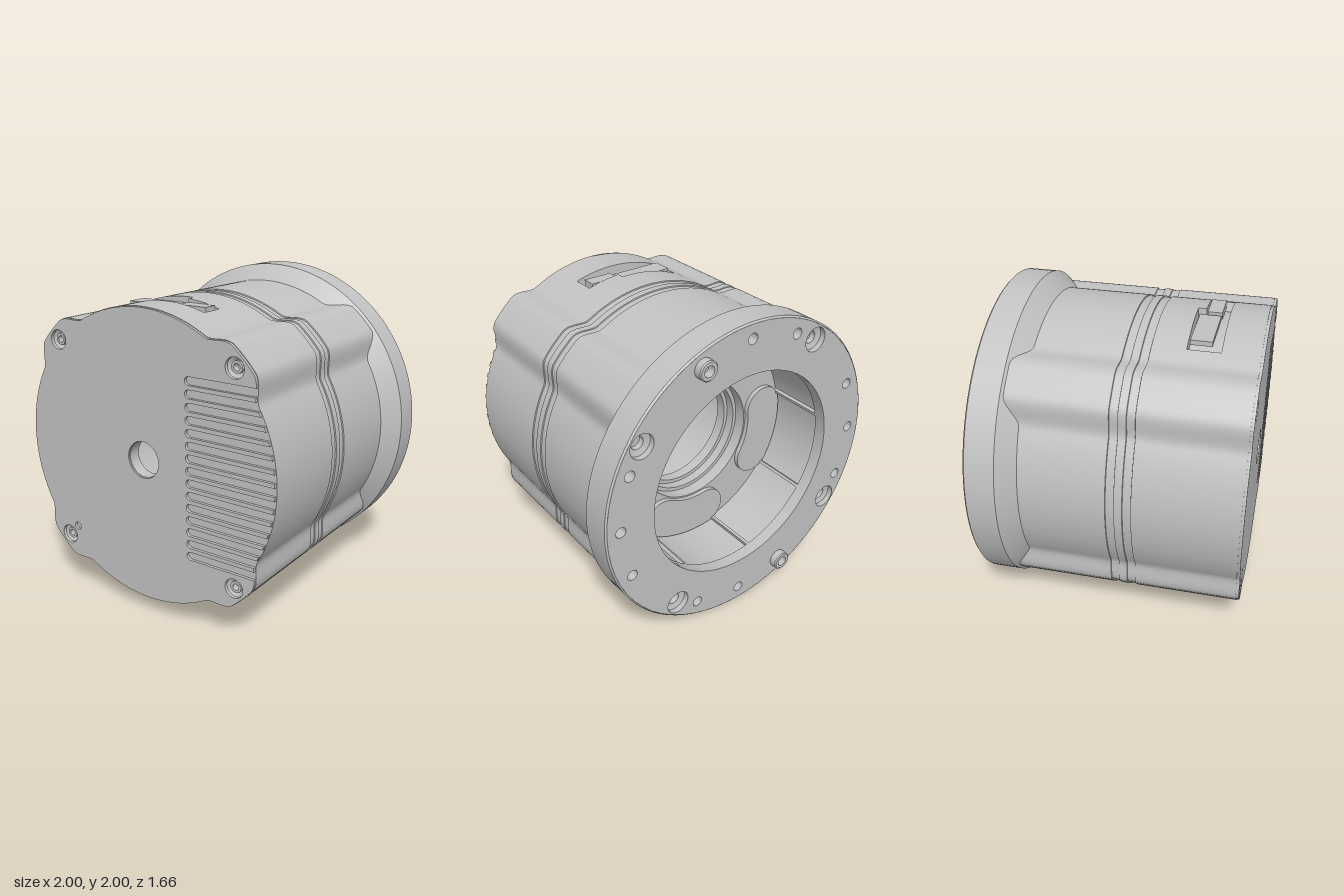
import * as THREE from 'three';
import { toCreasedNormals } from 'three/addons/utils/BufferGeometryUtils.js';

const rad = THREE.MathUtils.degToRad;
const grey = new THREE.MeshStandardMaterial({ color: 0xc2c2c2, side: THREE.DoubleSide });
grey.name = 'machined grey';

// Housing outline: a circle with four screw ears on the diagonals
function ear(t) {
  const q = Math.PI / 2;
  const a = Math.abs((((t % q) + q) % q) - q / 2);
  return 1 - THREE.MathUtils.smoothstep(a, rad(5.5), rad(15.5));
}
const outline = (t) => 0.9 + 0.085 * ear(t);
const at = (t, k = 1) => new THREE.Vector2(Math.cos(t), Math.sin(t)).multiplyScalar(outline(t) * k);

// Angle at which the right-hand outline reaches height y
function angleAt(y) {
  let lo = -Math.PI / 4, hi = Math.PI / 4;
  for (let i = 0; i < 40; i++) {
    const m = (lo + hi) / 2;
    if (outline(m) * Math.sin(m) < y) lo = m; else hi = m;
  }
  return lo;
}

function mesh(name, geometry, parent) {
  const m = new THREE.Mesh(geometry, grey);
  m.name = name;
  parent.add(m);
  return m;
}

// Turned part along z from [radius, z] pairs
function turned(points, segments = 96) {
  const g = new THREE.LatheGeometry(points.map(([r, z]) => new THREE.Vector2(r, z)), segments);
  g.rotateX(Math.PI / 2);
  return toCreasedNormals(g, 0.5);
}

function hole(shape, x, y, r) {
  shape.holes.push(new THREE.Path().absarc(x, y, r, 0, Math.PI * 2, true));
}

function extruded(shape, depth, z) {
  const g = new THREE.ExtrudeGeometry(shape, { depth, bevelEnabled: false, curveSegments: 32 });
  g.translate(0, 0, z);
  return toCreasedNormals(g, 0.5);
}

// Side wall as a radius field with grooves and two connector pockets
function housingWall() {
  const e = 0.001;
  const cols = [], rows = [-0.6, -0.4, -0.2, 0.3, 0.7, 0.81];
  for (let i = 0; i <= 240; i++) cols.push((i / 240) * Math.PI * 2);
  for (const x of [-0.36, 0.05, 0.27]) {
    const t = Math.acos(x / 0.9);
    cols.push(t - e, t + e, t + Math.PI - e, t + Math.PI + e);
  }
  for (const z of [0.035, 0.085, 0.135, 0.185, 0.39, 0.44, 0.585]) rows.push(z - e, z + e);
  cols.sort((a, b) => a - b);
  rows.sort((a, b) => b - a);
  const g = new THREE.PlaneGeometry(1, 1, cols.length - 1, rows.length - 1);
  const p = g.attributes.position;
  rows.forEach((z, j) => cols.forEach((t, i) => {
    let r = outline(t);
    const u = 0.9 * Math.cos(t) * (t < Math.PI ? 1 : -1);
    const wide = u > -0.36 && u <= 0.05 && z > 0.39 && z < 0.585;
    const narrow = u > 0.05 && u < 0.27 && z > 0.44 && z < 0.585;
    if (wide || narrow) r -= 0.06;
    if ((z > 0.035 && z < 0.085) || (z > 0.135 && z < 0.185)) r -= 0.007;
    p.setXYZ(j * cols.length + i, r * Math.cos(t), r * Math.sin(t), z);
  }));
  return toCreasedNormals(g, 0.5);
}

// Front cover outline with vent slots open on the right edge
function coverShape() {
  const k = 0.996, pts = [];
  const edge = (y) => at(angleAt(y / k), k);
  const t0 = angleAt(0.55 / k), t1 = Math.PI * 2 + angleAt(-0.55 / k);
  for (let i = 0; i <= 240; i++) pts.push(at(t0 + ((t1 - t0) * i) / 240, k));
  for (let s = -7; s <= 7; s++) {
    const y = s * 0.075;
    if (s > -7) pts.push(edge(y - 0.025));
    for (let i = 0; i <= 8; i++) {
      const a = -Math.PI / 2 - (i / 8) * Math.PI;
      pts.push(new THREE.Vector2(0.335 + 0.025 * Math.cos(a), y + 0.025 * Math.sin(a)));
    }
    if (s < 7) pts.push(edge(y + 0.025));
  }
  return new THREE.Shape(pts);
}

// Curved pad with rounded ends, centred on angle 0
function padShape() {
  const r = 0.555, w = 0.135, h = rad(19), s = new THREE.Shape();
  s.absarc(0, 0, r + w, -h, h, false);
  s.absarc(r * Math.cos(h), r * Math.sin(h), w, h, h + Math.PI, false);
  s.absarc(0, 0, r - w, h, -h, true);
  s.absarc(r * Math.cos(h), -r * Math.sin(h), w, Math.PI - h, 2 * Math.PI - h, false);
  return s;
}

export function createModel() {
  const model = new THREE.Group();
  model.name = 'actuatorHousing';
  const body = new THREE.Group();
  body.name = 'body';
  body.position.y = 1;
  model.add(body);

  mesh('housingWall', housingWall(), body);

  // Front end wall and slotted cover
  const endShape = new THREE.Shape(Array.from({ length: 240 }, (_, i) => at((i / 240) * Math.PI * 2)));
  const cover = coverShape();
  for (const s of [endShape, cover]) {
    hole(s, 0, 0, 0.113);
    for (const x of [-0.64, 0.64]) for (const y of [-0.64, 0.64]) hole(s, x, y, 0.06);
  }
  hole(cover, -0.565, -0.565, 0.025);
  const end = new THREE.ShapeGeometry(endShape, 32);
  end.translate(0, 0, 0.81);
  mesh('frontWall', end, body);
  mesh('frontCover', extruded(cover, 0.018, 0.81), body);

  // Recessed cover screws
  const screw = turned([[0.06, 0], [0.06, -0.02], [0.036, -0.035], [0.036, -0.02], [0.02, -0.02], [0.02, -0.06], [0, -0.06]], 24);
  for (const x of [-0.64, 0.64]) for (const y of [-0.64, 0.64]) {
    mesh('coverScrew', screw, body).position.set(x, y, 0.828);
  }

  // Connectors in the top and bottom pockets
  for (const turn of [0, Math.PI]) {
    const port = new THREE.Group();
    port.name = 'connector';
    port.rotation.z = turn;
    body.add(port);
    mesh('connectorBlock', new THREE.BoxGeometry(0.19, 0.05, 0.09), port).position.set(0.15, 0.853, 0.49);
    mesh('connectorPlate', new THREE.BoxGeometry(0.36, 0.03, 0.13), port).position.set(-0.14, 0.85, 0.465);
  }

  // Mounting flange
  mesh('flangeRim', turned([[0.99, -0.78], [1, -0.77], [1, -0.59], [0.89, -0.48]], 128), body);
  const plate = new THREE.Shape().absarc(0, 0, 0.99, 0, Math.PI * 2, false);
  hole(plate, 0, 0, 0.675);
  const polar = (deg, r = 0.9) => [r * Math.cos(rad(deg)), r * Math.sin(rad(deg))];
  for (const d of [0, 22.5, 90, 112.5, 157.5, 180, 202.5, 270, 292.5, 337.5]) hole(plate, ...polar(d), 0.034);
  const bolt = turned([[0.078, 0], [0.078, 0.035], [0.04, 0.045], [0.04, 0.08]], 24);
  for (let i = 0; i < 4; i++) {
    const [x, y] = polar(33.75 + 90 * i);
    hole(plate, x, y, 0.078);
    mesh('boltSeat', bolt, body).position.set(x, y, -0.78);
  }
  mesh('flangePlate', extruded(plate, 0.08, -0.78), body);
  const back = new THREE.RingGeometry(0.675, 0.99, 96);
  back.rotateY(Math.PI);
  back.translate(0, 0, -0.7);
  mesh('holeFloor', back, body);

  // Hollow locating pins
  const pin = turned([[0.034, 0.06], [0.034, -0.05], [0.055, -0.05], [0.062, -0.043], [0.062, 0.01]], 32);
  for (const d of [67.5, 247.5]) mesh('locatingPin', pin, body).position.set(...polar(d), -0.78);

  // Stepped bore running through to the front hole
  mesh('innerBore', turned([
    [0.12, 0.828], [0.11, 0.815], [0.11, 0.74], [0.6, 0.74], [0.6, -0.1], [0.36, -0.1], [0.36, -0.17],
    [0.385, -0.17], [0.385, -0.23], [0.41, -0.23], [0.41, -0.31], [0.7, -0.31], [0.7, -0.71],
    [0.675, -0.72], [0.675, -0.78],
  ]), body);

  // Curved pads and wall ribs inside the rear bore
  const pad = extruded(padShape(), 0.03, -0.34);
  for (let i = 0; i < 4; i++) {
    mesh('borePad', pad, body).rotation.z = rad(11 + 90 * i);
    for (const side of [-1, 1]) {
      const d = -34 + 90 * i + 22 * side;
      const rib = mesh('boreRib', new THREE.BoxGeometry(0.03, 0.02, 0.4), body);
      rib.position.set(...polar(d, 0.69), -0.51);
      rib.rotation.z = rad(d);
    }
  }
  return model;
}
